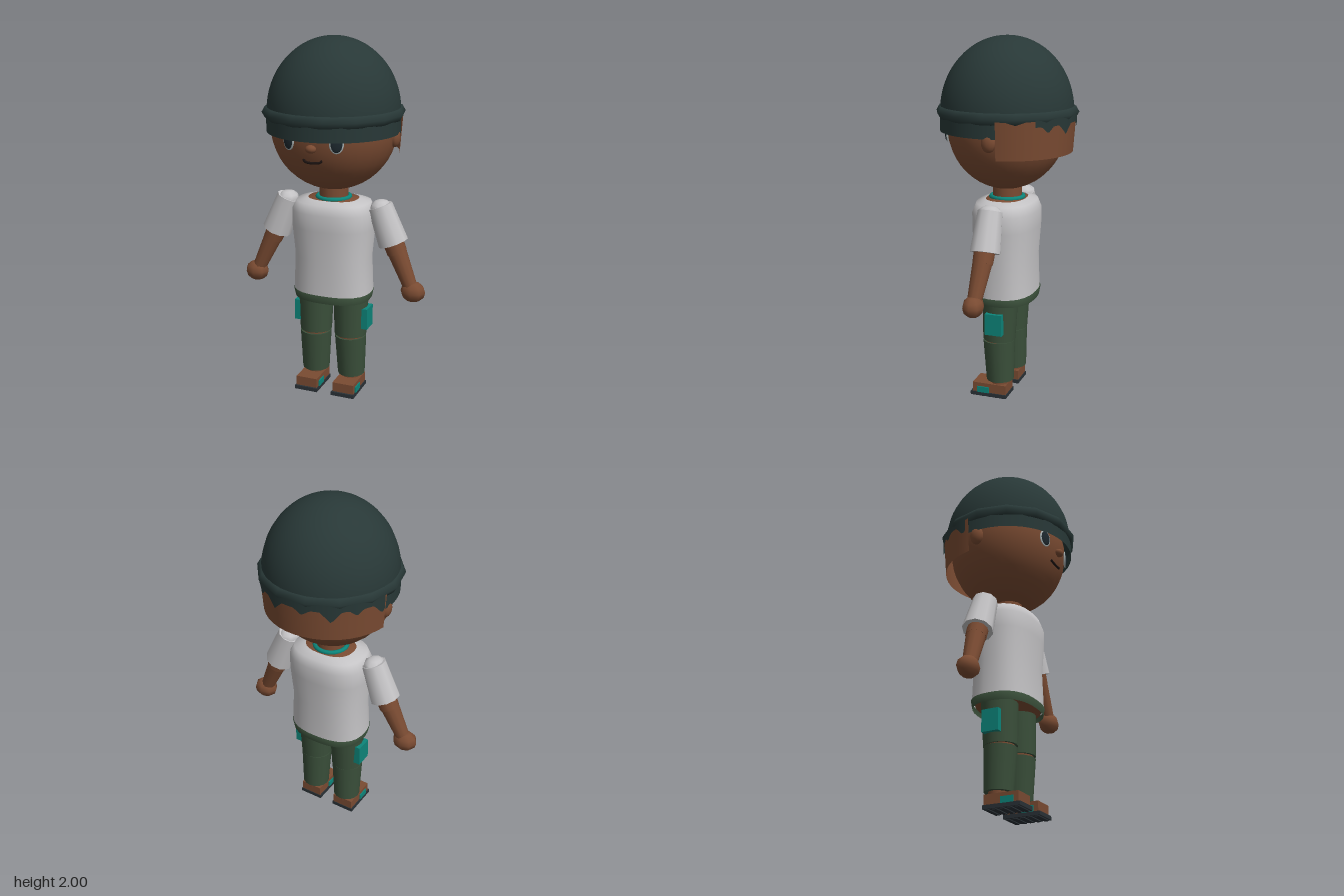
import * as THREE from 'three';
import { mergeVertices } from 'three/addons/utils/BufferGeometryUtils.js';

const mat = (name, color, side = THREE.FrontSide) => {
  const m = new THREE.MeshStandardMaterial({ color, side });
  m.name = name;
  return m;
};

export function createModel() {
  const skin = mat('skin brown', 0x7a4b32, THREE.DoubleSide);
  const knit = mat('cap dark green', 0x283837, THREE.DoubleSide);
  const cotton = mat('shirt light grey', 0xc4c3c5, THREE.DoubleSide);
  const cloth = mat('trouser green', 0x3a4f3a, THREE.DoubleSide);
  const teal = mat('teal', 0x0d857a);
  const rubber = mat('sole charcoal', 0x2a3136);
  const eyeDark = mat('eye dark', 0x1d282e);
  const eyeRim = mat('eye rim', 0xa9b2b2);
  const ink = mat('mouth dark', 0x1c1311);

  const model = new THREE.Group();
  model.name = 'figure';
  const add = (name, geo, material, x = 0, y = 0, z = 0, parent = model) => {
    const m = new THREE.Mesh(geo, material);
    m.name = name;
    m.position.set(x, y, z);
    parent.add(m);
    return m;
  };
  const ball = (rx, ry, rz, w = 24, h = 16) => new THREE.SphereGeometry(1, w, h).scale(rx, ry, rz);

  // Tapered limb between two points
  const limb = (name, material, a, b, ra, rb, sides = 12) => {
    const p = new THREE.Vector3(...a), q = new THREE.Vector3(...b);
    const m = add(name, new THREE.CylinderGeometry(ra, rb, p.distanceTo(q), sides), material);
    m.position.copy(p).add(q).multiplyScalar(0.5);
    m.quaternion.setFromUnitVectors(new THREE.Vector3(0, 1, 0), p.sub(q).normalize());
  };

  // Lathe squeezed front to back into a rounded rectangle section
  const torsoShape = (profile, depth, power = 2.5) => {
    const g = new THREE.LatheGeometry(profile.map(([r, y]) => new THREE.Vector2(r, y)), 32);
    const p = g.attributes.position;
    for (let i = 0; i < p.count; i++) {
      const x = p.getX(i), z = p.getZ(i), r = Math.hypot(x, z);
      // points on the axis stay where they are
      const k = r < 1e-6 ? 1 : r / Math.pow(Math.abs(x) ** power + Math.abs(z) ** power, 1 / power);
      p.setXYZ(i, x * k, p.getY(i), z * k * depth);
    }
    g.deleteAttribute('uv');
    g.deleteAttribute('normal');
    const out = mergeVertices(g, 1e-5);
    out.computeVertexNormals();
    return out;
  };

  // Head and face
  add('head', ball(0.345, 0.345, 0.32, 32, 24), skin, 0, 1.525, 0);
  add('nose', ball(0.03, 0.022, 0.025, 12, 8), skin, 0, 1.457, 0.318);
  const mouthPath = new THREE.CatmullRomCurve3([
    [-0.052, 1.395, 0.292], [-0.04, 1.385, 0.297], [0, 1.38, 0.3], [0.04, 1.385, 0.297], [0.052, 1.395, 0.292],
  ].map(p => new THREE.Vector3(...p)));
  add('mouth', new THREE.TubeGeometry(mouthPath, 16, 0.007, 6), ink);
  for (const s of [1, -1]) {
    add('ear', ball(0.03, 0.052, 0.04, 12, 10), skin, s * 0.338, 1.48, -0.018);
    const eye = new THREE.Group();
    eye.name = 'eye';
    eye.position.set(s * 0.132, 1.487, 0.296);
    eye.rotation.y = s * 0.38;
    model.add(eye);
    add('eyeRim', ball(0.038, 0.05, 0.008, 20, 10), eyeRim, 0, 0, 0, eye);
    add('pupil', ball(0.031, 0.043, 0.009, 20, 10), eyeDark, 0, 0, 0.003, eye);
  }

  // Cropped shell around the back of the head
  add('backOfHead', new THREE.CylinderGeometry(0.37, 0.355, 0.2, 20, 1, true, 1.74, 2.803), skin, 0, 1.49, 0);

  // Cap: dome, front band and rolled rim
  add('capDome', new THREE.SphereGeometry(1, 32, 16, 0, Math.PI * 2, 0, Math.PI / 2).scale(0.36, 0.4, 0.36), knit, 0, 1.6, 0);
  add('capBand', new THREE.CylinderGeometry(0.362, 0.362, 0.1, 28, 1, true, -1.745, 3.49), knit, 0, 1.55, 0);
  add('capRim', new THREE.TorusGeometry(0.351, 0.035, 6, 14).rotateX(Math.PI / 2), knit, 0, 1.602, 0);

  // Ragged hair tips below the rim at the back: [angle, drop, half width]
  const tips = [[2.5, 0.035, 0.1], [2.85, 0.05, 0.14], [3.3, 0.03, 0.12], [3.7, 0.06, 0.15], [4.05, 0.03, 0.1], [4.45, 0.06, 0.15]];
  const start = 2.3, span = 2.2;
  const fringe = new THREE.CylinderGeometry(0.375, 0.373, 0.04, 60, 1, true, start, span);
  const fp = fringe.attributes.position;
  for (let i = 0; i < fp.count; i++) {
    if (fp.getY(i) > 0) continue;
    const a = start + span * fringe.attributes.uv.getX(i);
    let drop = 0;
    for (const [c, d, w] of tips) drop = Math.max(drop, d * (1 - Math.abs(a - c) / w));
    fp.setY(i, fp.getY(i) - drop);
  }
  add('hairTips', fringe, knit, 0, 1.58, 0);

  // Neck and collar
  add('neck', new THREE.CylinderGeometry(0.08, 0.08, 0.16, 16), skin, 0, 1.15, 0);
  add('shoulderSkin', torsoShape([[0.165, 1.1], [0.15, 1.125], [0.05, 1.135], [0, 1.135]], 0.76, 2), skin);
  add('collar', new THREE.TorusGeometry(0.088, 0.013, 8, 24).rotateX(Math.PI / 2), teal, 0, 1.132, 0);

  // Shirt, waistband and hips
  add('shirt', torsoShape([[0.222, 0.595], [0.214, 0.8], [0.23, 0.97], [0.23, 1.06], [0.205, 1.112], [0.14, 1.128]], 0.76), cotton);
  add('waistband', torsoShape([[0.215, 0.557], [0.224, 0.6], [0.2, 0.606]], 0.775), cloth);
  add('hips', torsoShape([[0, 0.565], [0.2, 0.575], [0.2, 0.6]], 0.76), skin);

  for (const s of [1, -1]) {
    // Arm
    add('shoulder', ball(0.062, 0.05, 0.07, 8, 6), cotton, s * 0.275, 1.09, 0);
    limb('sleeve', cotton, [s * 0.268, 1.105, 0], [s * 0.347, 0.902, 0], 0.068, 0.083, 10);
    limb('upperArm', skin, [s * 0.31, 1.0, 0], [s * 0.372, 0.85, 0.004], 0.06, 0.055);
    limb('forearm', skin, [s * 0.365, 0.87, 0.004], [s * 0.46, 0.66, 0.02], 0.054, 0.038);
    add('hand', ball(0.07, 0.058, 0.058, 8, 6), skin, s * 0.47, 0.645, 0.02);

    // Trouser leg with a knee seam and side pocket
    limb('thigh', cloth, [s * 0.105, 0.59, 0.003], [s * 0.105, 0.34, 0.01], 0.1, 0.09, 16);
    limb('knee', skin, [s * 0.106, 0.36, 0.008], [s * 0.106, 0.31, 0.008], 0.08, 0.08, 16);
    limb('shin', cloth, [s * 0.106, 0.333, 0.01], [s * 0.109, 0.098, 0.003], 0.089, 0.077, 16);
    add('pocket', new THREE.BoxGeometry(0.038, 0.12, 0.096), teal, s * 0.2, 0.452, 0.006);

    // Foot and sandal
    limb('ankle', skin, [s * 0.11, 0.12, 0.003], [s * 0.11, 0.06, 0.003], 0.055, 0.055);
    add('foot', new THREE.BoxGeometry(0.125, 0.056, 0.195), skin, s * 0.111, 0.052, 0.048);
    add('strap', new THREE.BoxGeometry(0.138, 0.034, 0.07), teal, s * 0.111, 0.042, 0.083);
    add('sole', new THREE.BoxGeometry(0.136, 0.021, 0.21), rubber, s * 0.111, 0.0155, 0.052);
    for (let i = 0; i < 5; i++)
      add('tread', new THREE.BoxGeometry(0.12, 0.008, 0.024), rubber, s * 0.111, 0.004, -0.032 + i * 0.042);
  }
  return model;
}
